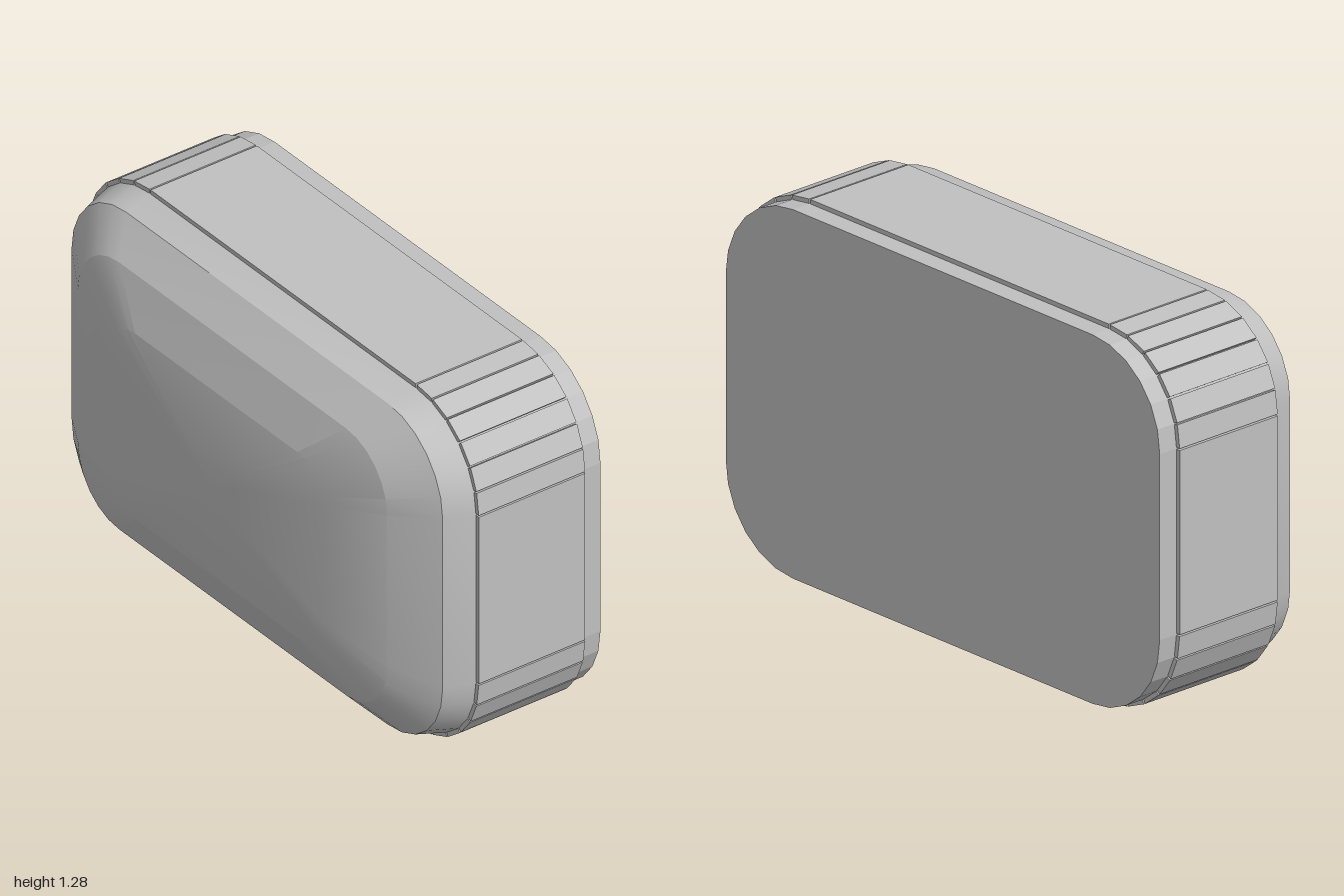
import * as THREE from 'three';
import { toCreasedNormals } from 'three/addons/utils/BufferGeometryUtils.js';

const CY = 0.65; // height of the centre line
const SEG = 6; // facets per rounded corner

// Rounded rectangle, counter-clockwise, optionally notched in its bottom edge
function outline(w, h, r, notch) {
  const pts = [];
  [[1, 1], [-1, 1], [-1, -1], [1, -1]].forEach(([sx, sy], q) => {
    for (let i = 0; i <= SEG; i++) {
      const a = (q + i / SEG) * Math.PI / 2;
      pts.push(new THREE.Vector2(sx * (w - r) + r * Math.cos(a), sy * (h - r) + r * Math.sin(a)));
    }
    if (q === 2 && notch) {
      const { half, depth } = notch;
      pts.push(new THREE.Vector2(-half, -h), new THREE.Vector2(-half, depth - h),
        new THREE.Vector2(half, depth - h), new THREE.Vector2(half, -h));
    }
  });
  return pts;
}

function slab(pts, z0, z1) {
  const geo = new THREE.ExtrudeGeometry(new THREE.Shape(pts), { depth: z1 - z0, bevelEnabled: false });
  return geo.translate(0, 0, z0);
}

// Domed front lofted through rounded-rectangle rings [halfWidth, halfHeight, radius, z]
function domeGeometry(rings) {
  const pos = [], idx = [];
  const n = 4 * (SEG + 1);
  rings.forEach(([w, h, r, z]) => outline(w, h, r).forEach(p => pos.push(p.x, p.y, z)));
  for (let k = 0; k < rings.length - 1; k++) {
    for (let i = 0; i < n; i++) {
      const a = k * n + i, b = k * n + (i + 1) % n;
      idx.push(a, b, b + n, a, b + n, a + n);
    }
  }
  const c = pos.length / 3, last = (rings.length - 1) * n;
  pos.push(0, 0, rings[rings.length - 1][3]);
  for (let i = 0; i < n; i++) idx.push(c, last + i, last + (i + 1) % n);
  const geo = new THREE.BufferGeometry();
  geo.setAttribute('position', new THREE.Float32BufferAttribute(pos, 3));
  geo.setIndex(idx);
  return toCreasedNormals(geo, 0.29);
}

export function createModel() {
  const model = new THREE.Group();
  const grey = new THREE.MeshStandardMaterial({ color: 0xc0c0c0 });
  grey.name = 'light grey';
  const add = (geo, name, parent = model) => {
    const mesh = new THREE.Mesh(geo, grey);
    mesh.name = name;
    parent.add(mesh);
    return mesh;
  };
  const box = (w, h, d, x, y, z, name, parent) => {
    const mesh = add(new THREE.BoxGeometry(w, h, d), name, parent);
    mesh.position.set(x, y, z);
    return mesh;
  };

  // Inner body, with a recess opening downwards in its middle section
  const body = new THREE.Group();
  body.name = 'body';
  body.position.y = CY;
  model.add(body);
  const W = 0.985, H = 0.615, R = 0.305;
  const recess = { half: 0.18, depth: 0.22, z0: -0.28, z1: 0.05 };
  add(slab(outline(W, H, R), -0.38, recess.z0), 'backSection', body);
  add(slab(outline(W, H, R, recess), recess.z0, recess.z1), 'middleSection', body);
  add(slab(outline(W, H, R), recess.z1, 0.1), 'frontSection', body);
  add(domeGeometry([
    [W, H, R, 0.1], [0.948, 0.592, 0.28, 0.2], [0.79, 0.492, 0.21, 0.295],
    [0.545, 0.342, 0.13, 0.358], [0.13, 0.09, 0.03, 0.38],
  ]), 'domedFront', body);

  // Outer band: separate plates with narrow gaps at the joints
  const band = new THREE.Group();
  band.name = 'outerBand';
  band.position.y = CY;
  model.add(band);
  const Z0 = -0.31, Z1 = 0.1, GAP = 0.003;
  const outer = outline(1, 0.63, 0.32), inner = outline(0.975, 0.605, 0.295);
  const bottomEdge = 3 * (SEG + 1) - 1;
  outer.forEach((p, i) => {
    if (i === bottomEdge) return;
    const j = (i + 1) % outer.length;
    const step = outer[j].clone().sub(p).setLength(GAP);
    add(slab([p.clone().add(step), outer[j].clone().sub(step),
      inner[j].clone().sub(step), inner[i].clone().add(step)], Z0, Z1), 'bandPlate', band);
  });

  // Bottom plate framing the recess
  for (const s of [-1, 1]) {
    box(0.497, 0.025, Z1 - Z0, s * 0.4285, -0.6175, (Z0 + Z1) / 2, 'bottomPlate', band);
  }
  box(0.36, 0.025, recess.z0 - Z0, 0, -0.6175, (recess.z0 + Z0) / 2, 'bottomRearStrip', band);
  box(0.36, 0.025, Z1 - recess.z1, 0, -0.6175, (recess.z1 + Z1) / 2, 'bottomFrontStrip', band);

  // Fittings inside the recess
  box(0.36, 0.015, 0.02, 0, 0.05, recess.z1 - 0.01, 'recessLedge');
  box(0.02, 0.15, 0.33, -0.07, 0.18, -0.115, 'recessDivider');
  const flap = box(0.2, 0.015, 0.2, 0.05, 0.13, -0.1, 'recessFlap');
  flap.rotation.z = 0.35;

  // Small catch under the base
  const knob = add(new THREE.CylinderGeometry(0.012, 0.012, 0.04, 8).rotateX(Math.PI / 2), 'catch');
  knob.position.set(0.205, 0.012, -0.14);
  box(0.02, 0.008, 0.025, 0.17, 0.019, 0.065, 'catchStop');

  // Thin marks on the upper corners
  for (const s of [-1, 1]) {
    for (const [z, len] of [[-0.155, 0.08], [0.012, 0.03]]) {
      const mark = box(0.012, 0.006, len, s * 0.828, 1.237, z, 'cornerMark');
      mark.rotation.z = -s * 0.5;
    }
  }
  return model;
}
